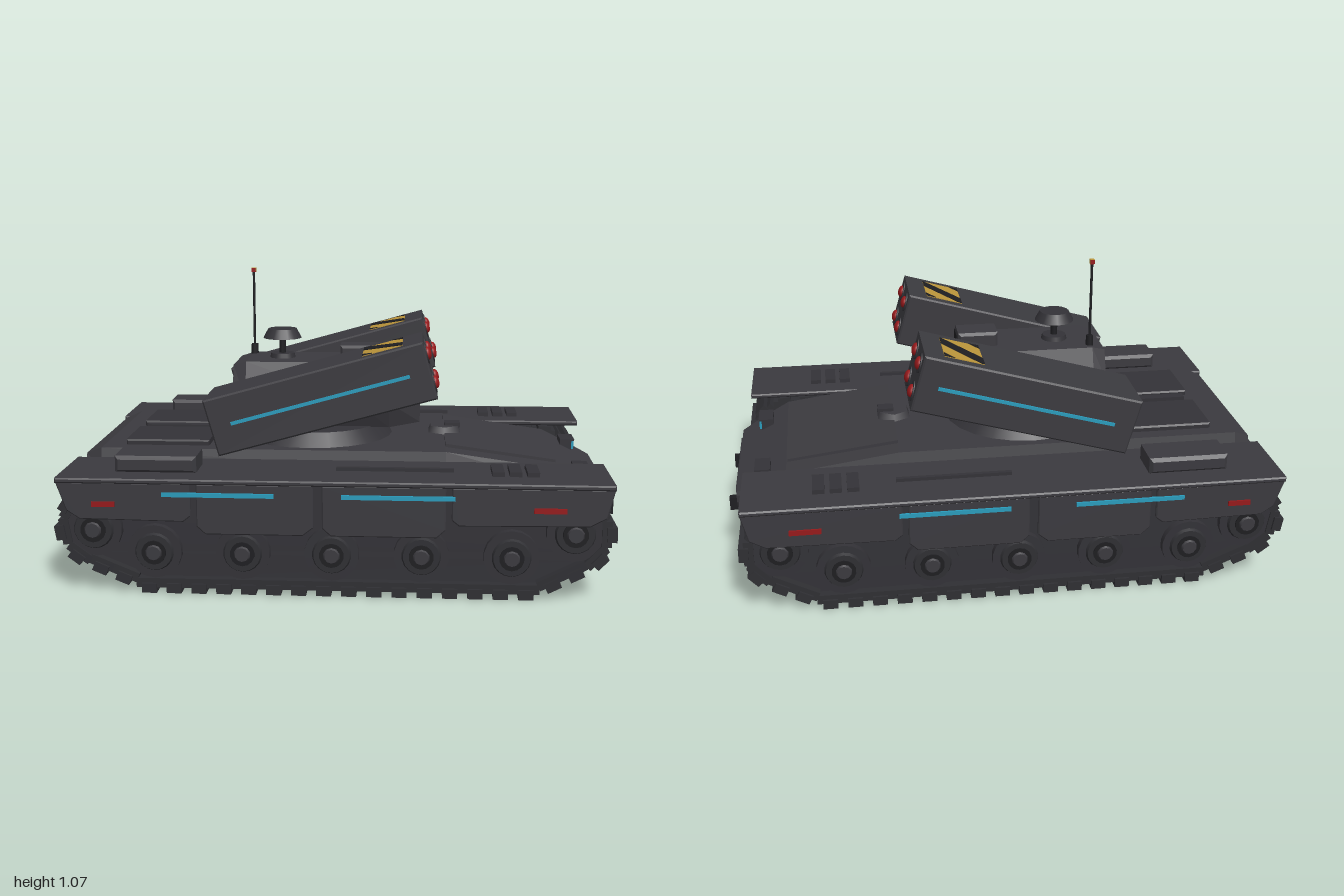
import * as THREE from 'three';

const mat = (name, color) => Object.assign(new THREE.MeshStandardMaterial({ color }), { name });
const M = {
  armour: mat('armourGrey', 0x3b3a3f),
  panel: mat('panelGrey', 0x333237),
  track: mat('trackGrey', 0x2f2f33),
  dark: mat('nearBlack', 0x1e1e21),
  cyan: mat('cyanLight', 0x2a9cbc),
  red: mat('redLight', 0x96191b),
  yellow: mat('hazardYellow', 0xbb953a),
};

function add(parent, name, geo, material, x = 0, y = 0, z = 0) {
  const m = new THREE.Mesh(geo, material);
  m.name = name;
  m.position.set(x, y, z);
  parent.add(m);
  return m;
}
const box = (p, name, material, w, h, d, x, y, z) =>
  add(p, name, new THREE.BoxGeometry(w, h, d), material, x, y, z);
const cyl = (p, name, material, r1, r2, h, n, x, y, z) =>
  add(p, name, new THREE.CylinderGeometry(r1, r2, h, n), material, x, y, z);

// Flat outline in x-y, extruded and centred along z
function slab(points, depth, bevel = 0) {
  const shape = new THREE.Shape(points.map(([x, y]) => new THREE.Vector2(x, y)));
  return new THREE.ExtrudeGeometry(shape, {
    depth: depth - 2 * bevel, bevelEnabled: bevel > 0, bevelSize: bevel,
    bevelThickness: bevel, bevelOffset: -bevel, bevelSegments: 1,
  }).translate(0, 0, -depth / 2 + bevel);
}
const bevelBox = (p, name, material, w, h, d, x, y, z, b = 0.01) =>
  add(p, name, slab([[-w / 2, -h / 2], [w / 2, -h / 2], [w / 2, h / 2], [-w / 2, h / 2]], d, b), material, x, y, z);

// Faceted body through mirrored cross-sections [x, [halfWidth, y], ...] running top to bottom
function loft(sections) {
  const rings = sections.map(([x, ...pts]) => [
    ...pts.map(([w, y]) => [x, y, w]),
    ...pts.slice().reverse().map(([w, y]) => [x, y, -w]),
  ]);
  const out = [], n = rings[0].length, last = rings[rings.length - 1];
  for (let i = 0; i < rings.length - 1; i++) {
    for (let j = 0; j < n; j++) {
      const k = (j + 1) % n;
      const a = rings[i][j], b = rings[i][k], c = rings[i + 1][k], d = rings[i + 1][j];
      out.push(...a, ...b, ...c, ...a, ...c, ...d);
    }
  }
  for (let j = 1; j < n - 1; j++) {
    out.push(...last[0], ...last[j], ...last[j + 1]);
    out.push(...rings[0][0], ...rings[0][j + 1], ...rings[0][j]);
  }
  const g = new THREE.BufferGeometry();
  g.setAttribute('position', new THREE.Float32BufferAttribute(out, 3));
  g.computeVertexNormals();
  return g;
}

function buildHull(root) {
  const hull = new THREE.Group();
  hull.name = 'hull';
  root.add(hull);
  add(hull, 'hullBody', loft([
    [-0.95, [0.31, 0.42], [0.335, 0.36], [0.33, 0.28], [0.28, 0.21]],
    [-0.89, [0.33, 0.445], [0.35, 0.36], [0.355, 0.28], [0.31, 0.16]],
    [0.37, [0.33, 0.445], [0.35, 0.36], [0.355, 0.28], [0.31, 0.16]],
    [0.78, [0.33, 0.388], [0.345, 0.34], [0.35, 0.28], [0.31, 0.16]],
    [0.87, [0.31, 0.345], [0.32, 0.32], [0.325, 0.27], [0.295, 0.165]],
    [0.965, [0.27, 0.3], [0.28, 0.285], [0.28, 0.26], [0.26, 0.21]],
  ]), M.armour);
  // Sloped front plate and driver hatch
  add(hull, 'glacisPlate', loft([
    [0.37, [0.25, 0.457], [0.25, 0.435]],
    [0.775, [0.235, 0.399], [0.235, 0.375]],
  ]), M.armour);
  cyl(hull, 'driverHatch', M.armour, 0.06, 0.07, 0.025, 6, 0.37, 0.463, 0);
  box(hull, 'driverPeriscope', M.panel, 0.06, 0.018, 0.05, 0.4, 0.478, 0);
  box(hull, 'nosePlate', M.panel, 0.012, 0.05, 0.44, 0.965, 0.262, 0);
  // Rear deck
  box(hull, 'deckSpine', M.panel, 0.25, 0.03, 0.035, -0.66, 0.45, 0);
  for (const s of [1, -1]) {
    bevelBox(hull, 'engineCover', M.panel, 0.31, 0.03, 0.235, -0.655, 0.45, s * 0.16, 0.006);
    box(hull, 'headlightHousing', M.panel, 0.045, 0.046, 0.1, 0.862, 0.358, s * 0.225);
    box(hull, 'headlightLid', M.panel, 0.012, 0.006, 0.1, 0.89, 0.378, s * 0.225);
    box(hull, 'headlight', M.cyan, 0.009, 0.034, 0.094, 0.889, 0.358, s * 0.225);
    box(hull, 'towHook', M.dark, 0.04, 0.05, 0.026, 0.98, 0.208, s * 0.18);
    const pipe = cyl(hull, 'exhaustPipe', M.panel, 0.026, 0.026, 0.1, 10, -0.95, 0.32, s * 0.2);
    pipe.rotation.z = Math.PI / 2;
    box(hull, 'tailLight', M.red, 0.03, 0.03, 0.085, -0.95, 0.24, s * 0.2);
  }
}

function buildWheel(p, name, x, y, r, s) {
  const wheel = new THREE.Group();
  wheel.name = name;
  wheel.position.set(x, y, s * 0.51);
  wheel.rotation.x = s * Math.PI / 2;
  p.add(wheel);
  cyl(wheel, 'tyre', M.panel, r, r, 0.22, 18, 0, 0, 0);
  cyl(wheel, 'rim', M.track, r * 0.66, r * 0.72, 0.012, 18, 0, 0.115, 0);
  cyl(wheel, 'hubRing', M.dark, r * 0.45, r * 0.45, 0.008, 14, 0, 0.122, 0);
  cyl(wheel, 'hubCap', M.armour, r * 0.26, r * 0.34, 0.012, 10, 0, 0.127, 0);
}

function buildSide(root, s) {
  const side = new THREE.Group();
  side.name = s > 0 ? 'nearTrackUnit' : 'farTrackUnit';
  root.add(side);
  const z = s * 0.5;
  // Closed loop followed by the track, with a solid core inside it
  const loop = new THREE.Shape();
  loop.moveTo(-0.66, 0.04).lineTo(0.66, 0.04);
  loop.absarc(0.79, 0.235, 0.115, -1.1, Math.PI / 2, false);
  loop.absarc(-0.83, 0.235, 0.115, Math.PI / 2, Math.PI + 1.18, false);
  loop.lineTo(-0.66, 0.04);
  const core = new THREE.ExtrudeGeometry(loop, { depth: 0.21, bevelEnabled: false });
  add(side, 'trackCore', core.translate(0, 0, -0.105), M.panel, 0, 0, s * 0.49);
  const count = 46;
  for (let i = 0; i < count; i++) {
    const pt = loop.getPointAt(i / count), t = loop.getTangentAt(i / count);
    const link = new THREE.Group();
    link.name = 'trackLink';
    link.position.set(pt.x, pt.y, z);
    link.rotation.z = Math.atan2(t.y, t.x);
    side.add(link);
    box(link, 'linkPlate', M.track, 0.092, 0.034, 0.25, 0, -0.006, 0);
    box(link, 'grouser', M.track, 0.052, 0.034, 0.266, 0, -0.023, 0);
  }
  // Running gear
  for (let i = 0; i < 5; i++) buildWheel(side, 'roadWheel', -0.64 + i * 0.308, 0.147, 0.095, s);
  buildWheel(side, 'driveSprocket', -0.85, 0.225, 0.098, s);
  buildWheel(side, 'idlerWheel', 0.805, 0.235, 0.098, s);

  // Fender and side skirts
  bevelBox(side, 'fender', M.armour, 1.9, 0.018, 0.308, -0.02, 0.407, s * 0.508, 0.005);
  const skirts = [
    [[-0.97, 0.4], [-0.935, 0.3], [-0.89, 0.27], [-0.53, 0.265], [-0.505, 0.285], [-0.505, 0.4]],
    [[-0.485, 0.4], [-0.485, 0.25], [-0.455, 0.222], [-0.12, 0.222], [-0.085, 0.25], [-0.085, 0.4]],
    [[-0.055, 0.4], [-0.055, 0.25], [-0.025, 0.222], [0.335, 0.222], [0.365, 0.25], [0.365, 0.4]],
    [[0.385, 0.4], [0.385, 0.285], [0.41, 0.265], [0.85, 0.27], [0.905, 0.3], [0.93, 0.4]],
  ];
  for (const outline of skirts) {
    add(side, 'skirtPanel', slab(outline.slice().reverse(), 0.018, 0.004), M.armour, 0, 0, s * 0.645);
  }
  box(side, 'skirtBacking', M.panel, 1.82, 0.1, 0.01, -0.015, 0.345, s * 0.637);
  for (const [x, w] of [[-0.41, 0.385], [0.203, 0.385]]) {
    box(side, 'skirtLightStrip', M.cyan, w, 0.015, 0.009, x, 0.362, s * 0.656);
  }
  for (const [x, w] of [[-0.805, 0.08], [0.715, 0.11]]) {
    box(side, 'markerLight', M.red, w, 0.018, 0.009, x, 0.325, s * 0.656);
  }
  // Fender fittings
  bevelBox(side, 'stowageBox', M.armour, 0.285, 0.06, 0.145, -0.64, 0.443, s * 0.5, 0.012);
  box(side, 'fenderRail', M.panel, 0.41, 0.012, 0.016, 0.19, 0.422, s * 0.5);
  for (let i = 0; i < 3; i++) box(side, 'ventSlat', M.panel, 0.042, 0.016, 0.12, 0.545 + i * 0.06, 0.424, s * 0.5);
}

function buildTurret(root) {
  const turret = new THREE.Group();
  turret.name = 'turret';
  root.add(turret);
  cyl(turret, 'turretRing', M.panel, 0.255, 0.3, 0.05, 24, -0.13, 0.468, 0);
  add(turret, 'turretBody', loft([
    [-0.43, [0.11, 0.72], [0.155, 0.61], [0.11, 0.5]],
    [-0.38, [0.125, 0.735], [0.175, 0.6], [0.13, 0.49]],
    [0.03, [0.125, 0.735], [0.175, 0.6], [0.13, 0.49]],
    [0.16, [0.115, 0.675], [0.165, 0.59], [0.13, 0.49]],
    [0.275, [0.085, 0.61], [0.105, 0.58], [0.095, 0.505]],
  ]), M.armour);
  // Sensor mast, sight and aerial
  cyl(turret, 'sensorBase', M.panel, 0.045, 0.05, 0.02, 14, -0.255, 0.742, 0);
  cyl(turret, 'sensorStem', M.dark, 0.013, 0.013, 0.08, 10, -0.255, 0.78, 0);
  cyl(turret, 'sensorDish', M.panel, 0.055, 0.074, 0.035, 16, -0.255, 0.828, 0);
  bevelBox(turret, 'sightBox', M.armour, 0.15, 0.08, 0.115, 0.045, 0.748, 0);
  box(turret, 'sightLens', M.dark, 0.006, 0.045, 0.085, 0.122, 0.753, 0);
  cyl(turret, 'aerialBase', M.dark, 0.013, 0.015, 0.045, 10, -0.375, 0.75, -0.09);
  cyl(turret, 'aerial', M.dark, 0.005, 0.005, 0.31, 6, -0.375, 0.9, -0.09);
  // Aerial tip: yellow along x and on top, red on the remaining faces
  box(turret, 'aerialTip', [M.yellow, M.yellow, M.yellow, M.red, M.red, M.red], 0.017, 0.017, 0.017, -0.375, 1.061, -0.09);

  for (const s of [1, -1]) {
    const trunnion = cyl(turret, 'trunnion', M.panel, 0.038, 0.038, 0.1, 12, -0.14, 0.64, s * 0.175);
    trunnion.rotation.x = Math.PI / 2;
    const pod = new THREE.Group();
    pod.name = 'missilePod';
    pod.position.set(-0.077, 0.658, s * 0.335);
    pod.rotation.z = 0.272;
    turret.add(pod);
    bevelBox(pod, 'podBody', M.armour, 0.8, 0.207, 0.27, 0, 0, 0, 0.006);
    box(pod, 'podLightStrip', M.cyan, 0.65, 0.012, 0.008, 0.002, 0, s * 0.137);
    // Hazard plate with dark diagonal bands
    const plate = box(pod, 'hazardPlate', M.yellow, 0.145, 0.004, 0.185, 0.255, 0.104, 0);
    const bands = [
      [[-0.0725, 0.0925], [-0.0725, 0.035], [0.0725, -0.0925], [0.0725, -0.03], [-0.06, 0.0925]],
      [[0.035, 0.0925], [0.0725, 0.06], [0.0725, 0.0925]],
      [[-0.0725, -0.0925], [-0.035, -0.0925], [-0.0725, -0.06]],
    ];
    for (const b of bands) {
      add(plate, 'hazardBand', slab(b, 0.003), M.dark, 0, 0.0025, 0).rotation.x = -Math.PI / 2;
    }
    // Four launch tubes with domed red warheads
    for (const y of [0.053, -0.053]) {
      for (const z of [0.068, -0.068]) {
        cyl(pod, 'tubeRim', M.panel, 0.038, 0.038, 0.008, 8, 0.4, y, z).rotation.z = -Math.PI / 2;
        const dome = new THREE.SphereGeometry(0.024, 12, 6, 0, Math.PI * 2, 0, Math.PI / 2).scale(1, 0.6, 1);
        add(pod, 'warhead', dome, M.red, 0.404, y, z).rotation.z = -Math.PI / 2;
      }
    }
  }
}

export function createModel() {
  const root = new THREE.Group();
  root.name = 'missileTank';
  buildHull(root);
  for (const s of [1, -1]) buildSide(root, s);
  buildTurret(root);
  return root;
}
